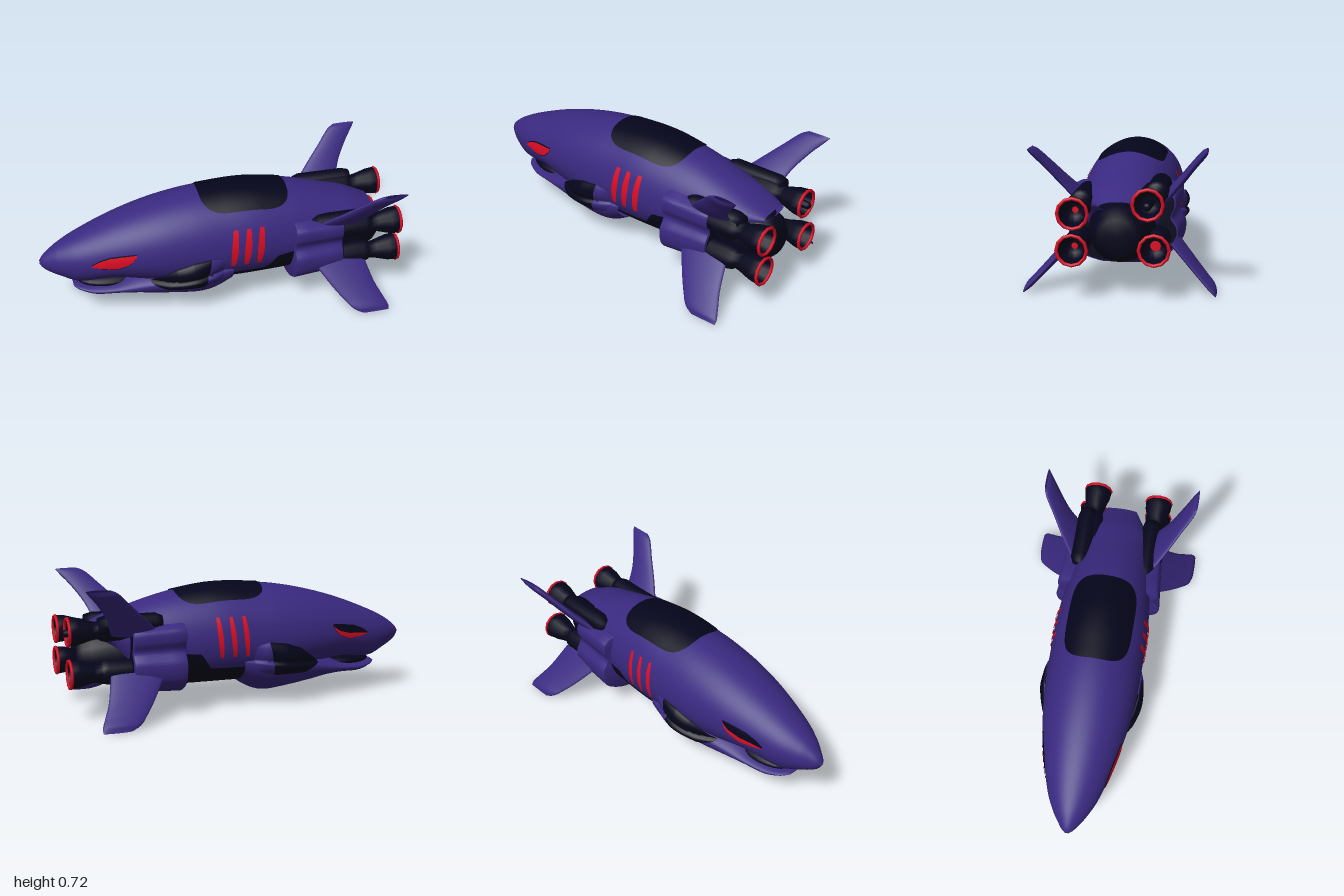
import * as THREE from 'three';
import { ParametricGeometry } from 'three/addons/geometries/ParametricGeometry.js';
import { toCreasedNormals } from 'three/addons/utils/BufferGeometryUtils.js';

const paint = (name, color) => new THREE.MeshStandardMaterial({ name, color, side: THREE.DoubleSide });

// Smooth interpolation of table rows keyed by their first column
function interp(rows, k) {
  const n = rows.length;
  let i = 0;
  while (i < n - 2 && k > rows[i + 1][0]) i++;
  const a = rows[i], b = rows[i + 1], p = rows[Math.max(i - 1, 0)], q = rows[Math.min(i + 2, n - 1)];
  const h = b[0] - a[0], t = THREE.MathUtils.clamp((k - a[0]) / h, 0, 1);
  return a.slice(1).map((v, j) => {
    const c = j + 1;
    const m0 = h * (b[c] - p[c]) / (b[0] - p[0]), m1 = h * (q[c] - a[c]) / (q[0] - a[0]);
    const t2 = t * t, t3 = t2 * t;
    return (2 * t3 - 3 * t2 + 1) * v + (t3 - 2 * t2 + t) * m0 + (3 * t2 - 2 * t3) * b[c] + (t3 - t2) * m1;
  });
}

// Sections: x, top, widest height, bottom, half width
const HULL = [
  [-1, .33, .32, .31, .012], [-.985, .352, .32, .285, .03], [-.95, .382, .32, .258, .056],
  [-.9, .415, .325, .232, .09], [-.8, .465, .335, .188, .138], [-.6, .545, .36, .2, .195],
  [-.4, .604, .37, .16, .236], [-.2, .643, .37, .13, .256], [0, .661, .37, .12, .26],
  [.1, .664, .37, .12, .262], [.2, .659, .37, .12, .258], [.37, .633, .37, .12, .242],
  [.5, .602, .38, .12, .222], [.65, .555, .4, .2, .195], [.75, .522, .43, .36, .165], [.88, .462, .44, .42, .09]];
const JAW = [
  [-.83, .168, .16, .152, .045], [-.8, .172, .155, .138, .08], [-.72, .172, .145, .112, .118],
  [-.6, .188, .155, .112, .15], [-.5, .225, .17, .102, .178], [-.4, .25, .19, .08, .205],
  [-.2, .28, .22, .05, .245], [-.12, .29, .23, .047, .25], [-.05, .3, .24, .07, .25], [.03, .3, .25, .12, .236]];

function ringPoint(rows, x, a, d, out) {
  const [top, mid, bot, w] = interp(rows, x), s = Math.sin(a);
  return out.set(x, mid + (s > 0 ? top - mid + d : mid - bot + d) * s, (w + d) * Math.cos(a));
}
function halfWidth(rows, x, y) {
  if (x < rows[0][0] || x > rows[rows.length - 1][0]) return 0;
  const [top, mid, bot, w] = interp(rows, x);
  const r = (y - mid) / (y > mid ? top - mid : mid - bot);
  return w * Math.sqrt(Math.max(0, 1 - r * r));
}
const sideZ = (x, y) => Math.max(halfWidth(HULL, x, y), halfWidth(JAW, x, y));
const lerp = THREE.MathUtils.lerp;
// Straight-line curve through [x, y] points
function poly(points, x) {
  let i = 0;
  while (i < points.length - 2 && x > points[i + 1][0]) i++;
  const [a, b] = [points[i], points[i + 1]];
  return lerp(a[1], b[1], (x - a[0]) / (b[0] - a[0]));
}

export function createModel() {
  const purple = paint('purple', 0x3a2980), dark = paint('dark navy', 0x05051c), red = paint('red', 0xdc0c24);
  const model = new THREE.Group();
  const add = (name, geo, mat, parent = model) => {
    const m = new THREE.Mesh(geo, mat);
    m.name = name;
    parent.add(m);
    return m;
  };
  const surface = (name, mat, f, nu, nv) => add(name, new ParametricGeometry(f, nu, nv), mat);
  const loft = (name, rows, nu, ease) => surface(name, purple, (u, v, p) =>
    ringPoint(rows, lerp(rows[0][0], rows[rows.length - 1][0], u ** ease), v * Math.PI * 2 - Math.PI / 2, 0, p), nu, 64);

  // Body, lower jaw and mouth lining
  loft('hull', HULL, 90, 1.4);
  loft('lowerJaw', JAW, 48, 1.2);
  const mouth = add('mouthLining', new THREE.SphereGeometry(1, 24, 12), dark);
  mouth.scale.set(.2, .04, .11);
  mouth.position.set(-.61, .18, 0);

  // Dark roof panel with rounded corners
  surface('roofPanel', dark, (u, v, p) => {
    const t = Math.sin(1.54 * (2 * u - 1)), x = .125 + .247 * t;
    const z = .18 * (1 - Math.abs(t) ** 4) ** .25 * (2 * v - 1);
    const [top, mid, , w] = interp(HULL, x);
    p.set(x, mid + (top - mid + .005) * Math.sqrt(1 - (z / (w + .005)) ** 2), z);
  }, 40, 24);

  // Dark belly panel, stepping up towards the rear
  surface('bellyPanel', dark, (u, v, p) => {
    const x = .37 * u, [, mid, bot] = interp(HULL, x);
    const y = poly([[0, .23], [.22, .235], [.28, .32], [.38, .33]], x);
    const a = Math.asin((y - mid) / (mid - bot));
    ringPoint(HULL, x, lerp(a, -Math.PI - a, v), .005, p);
  }, 30, 48);

  // Side details laid on the skin; shape(u, v) gives [x, y, offset]
  const sidePatch = (s, name, mat, shape, nu = 16, nv = 12) =>
    surface((s > 0 ? 'left' : 'right') + name, mat, (u, v, p) => {
      const [x, y, d] = shape(u, v);
      p.set(x, y, s * (sideZ(x, y) + d));
    }, nu, nv);

  // Eye outline; v0..v1 picks a band of its height
  const eye = (grow, v0, v1, d) => (u, v) => {
    const x = lerp(-.735, -.498, u);
    const lo = poly([[-.735, .35], [-.71, .343], [-.61, .335], [-.545, .36], [-.515, .388], [-.498, .412]], x);
    const hi = poly([[-.735, .358], [-.7, .382], [-.64, .406], [-.57, .417], [-.498, .424]], x);
    return [x, lerp(lo - grow, hi + grow, lerp(v0, v1, v)), d];
  };
  // Flared cheek intake and the purple cheek closing behind it
  const cheekLo = x => poly([[-.42, .212], [-.33, .168], [-.14, .172], [0, .21]], x);
  const cheekHi = x => poly([[-.42, .222], [-.29, .315], [-.2, .348], [-.1, .362], [.02, .33]], x);
  const cheek = (x, v, base, bump) => [x, lerp(cheekLo(x), cheekHi(x), v), base + bump * Math.sin(Math.PI * v) ** .8];
  // The intake's rear edge leans back towards the top
  const rearEdge = v => -.135 + .035 * v;

  for (const s of [1, -1]) {
    sidePatch(s, 'EyeSocket', dark, eye(.002, 0, 1, .003), 24);
    sidePatch(s, 'Eye', red, s > 0 ? eye(0, .05, .95, .006) : eye(0, 0, .4, .006), 24);
    for (let i = 0; i < 3; i++) sidePatch(s, 'Gill' + (i + 1), red, (u, v) => {
      const width = (s > 0 ? 1 : .75) * (.024 + .014 * Math.sin(Math.PI * v));
      return [.022 + .073 * i + .018 * v + (u - .5) * width, lerp(.293, .51, v), .006];
    }, 4, 16);
    sidePatch(s, 'CheekIntake', dark, (u, v) =>
      cheek(lerp(-.42, rearEdge(v), u), v, .006, .05 * Math.sin(.8 * Math.PI * u)), 28, 24);
    sidePatch(s, 'CheekRear', purple, (u, v) =>
      cheek(lerp(rearEdge(v), .01, u), v, .006 - .014 * u, .0147 * (1 + Math.cos(Math.PI * u))), 16, 24);
  }

  // Engine cowl wrapped round the tail
  const half = [[.12, .1], [.2, .125], [.27, .17], [.297, .22], [.3, .29], [.268, .352], [.287, .41], [.283, .465], [.24, .492]];
  const outline = new THREE.Shape();
  outline.moveTo(0, .095);
  outline.splineThru(half.map(([z, y]) => new THREE.Vector2(z, y)));
  outline.lineTo(-.24, .492);
  outline.splineThru(half.slice(0, -1).reverse().map(([z, y]) => new THREE.Vector2(-z, y)));
  outline.closePath();
  const cowl = new THREE.ExtrudeGeometry(outline, {
    depth: .26, steps: 4, curveSegments: 40, bevelThickness: .01, bevelSize: .008, bevelOffset: -.008, bevelSegments: 2 });
  cowl.rotateY(Math.PI / 2).translate(.38, 0, 0);
  const taper = (geo) => {
    const q = geo.attributes.position;
    for (let i = 0; i < q.count; i++) {
      const k = 1 - .3 * Math.max(0, q.getX(i) - .37);
      q.setXYZ(i, q.getX(i), .3 + (q.getY(i) - .3) * k, q.getZ(i) * k);
    }
    return geo;
  };
  add('engineCowl', toCreasedNormals(taper(cowl), .7), purple);
  const plate = new THREE.ShapeGeometry(outline, 40).translate(0, -.3, 0).scale(.965, .965, 1).translate(0, .3, 0);
  add('cowlRearPlate', taper(plate.rotateY(Math.PI / 2).translate(.654, 0, 0)), dark);

  // Lathe turned so that its axis runs along x
  const turned = (points, sides) => new THREE.LatheGeometry(points.map(([x, r]) => new THREE.Vector2(r, x)), sides).rotateZ(-Math.PI / 2);
  add('tailCore', turned([[.62, .17], [.72, .165], [.84, .14], [.89, .115], [.92, .085], [.92, 0]], 24), dark).position.y = .3;

  // Dark housings along the top of the cowl
  const housing = turned([[.47, 0], [.48, .04], [.52, .056], [.78, .056], [.82, .045], [.82, 0]], 16);
  add('leftHousing', housing, dark).position.set(0, .449, .19);
  add('rightHousing', housing, dark).position.set(0, .495, -.18);

  // Four engines: y, z, glow radius
  const pod = turned([[-.325, .06], [-.2, .065], [-.17, .056], [-.16, .045], [-.12, .052],
    [-.05, .072], [0, .077], [0, .068], [-.06, .058], [-.11, .036], [-.11, 0]], 12);
  const rim = new THREE.TorusGeometry(.073, .0085, 6, 12).rotateY(Math.PI / 2);
  [[.42, .207, .016], [.243, .212, .016], [.468, -.15, .016], [.25, -.18, .026]].forEach(([y, z, r], i) => {
    const engine = new THREE.Group();
    engine.name = 'engine' + (i + 1);
    add('pod', pod, dark, engine);
    add('nozzleRim', rim, red, engine);
    add('nozzleGlow', new THREE.CircleGeometry(r, 12).rotateY(Math.PI / 2), red, engine).position.x = -.106;
    engine.position.set(.975, y, z);
    model.add(engine);
  });
  add('exhaustProbe', turned([[.86, .026], [.99, .02], [1, .012], [1, 0]], 12), dark).position.set(0, .462, -.15);

  // Fins: station, leading x, trailing x, y, z, half thickness
  const upper = [[0, .5, .76, .45, .215, .022], [1, .595, .795, .54, .29, .02], [2, .69, .855, .63, .357, .018],
    [3, .765, .915, .7, .412, .016], [3.2, .8, .928, .717, .425, .007]];
  const lower = [[0, .48, .775, .24, .25, .022], [1, .565, .81, .13, .35, .02], [2, .625, .845, .065, .413, .018],
    [3, .675, .868, .022, .456, .016], [3.2, .72, .866, .004, .47, .007]];
  const fin = (name, rows, up, side) => surface(name, purple, (u, v, p) => {
    const [x0, x1, y, z, th] = interp(rows, u * 3.2), a = v * Math.PI * 2;
    const d = .7 * th * Math.sin(a);
    p.set((x0 + x1) / 2 + (x1 - x0) / 2 * Math.cos(a), y - up * d, side * (z + d));
  }, 24, 28);
  for (const [label, s] of [['left', 1], ['right', -1]]) {
    fin(label + 'UpperFin', upper, 1, s);
    fin(label + 'LowerFin', lower, -1, s);
  }
  return model;
}
